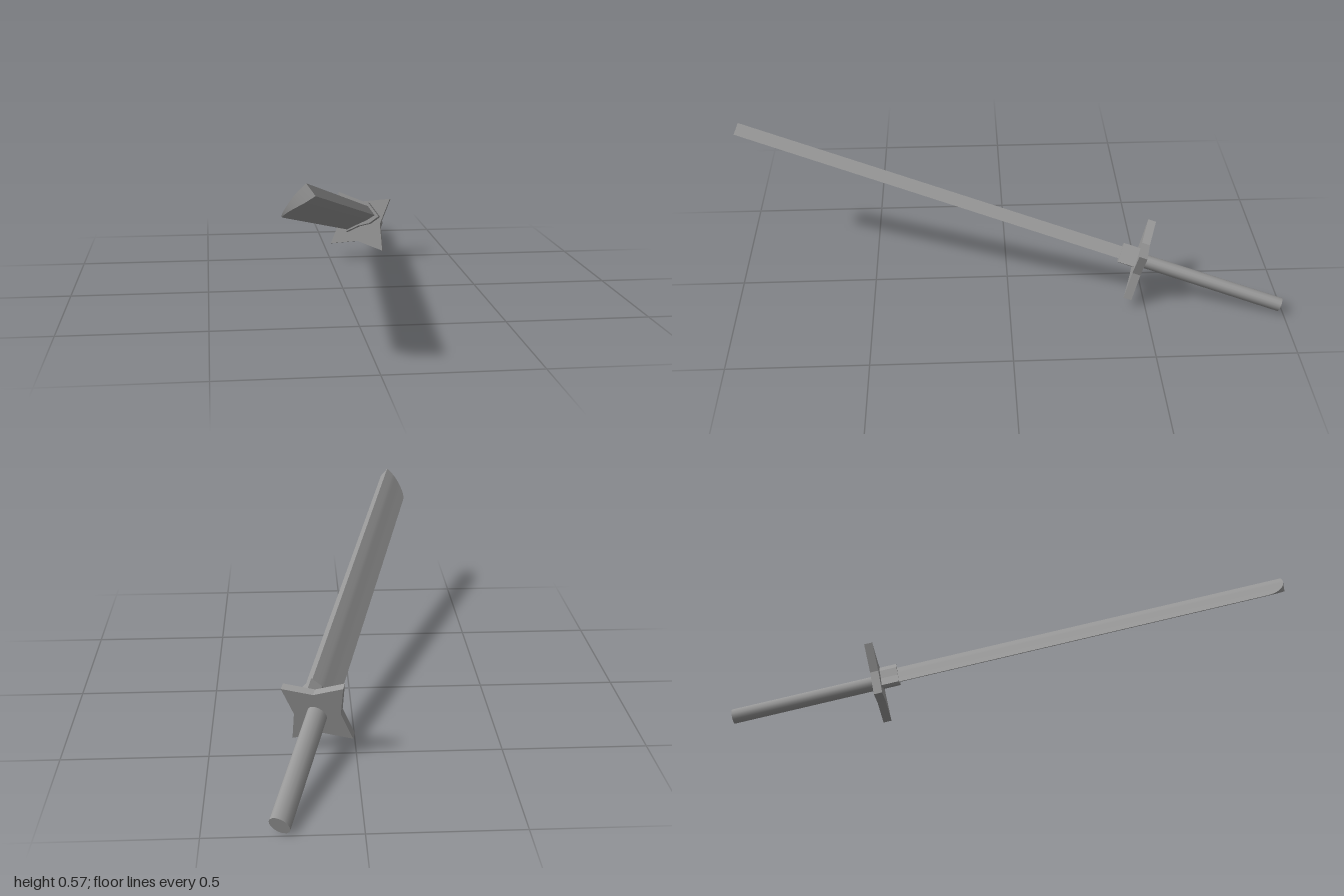
import * as THREE from 'three';
import { mergeGeometries } from 'three/addons/utils/BufferGeometryUtils.js';

const material = (flat = false) => new THREE.MeshStandardMaterial({ color: 0x999999, flatShading: flat });

// Half thickness from cutting edge to spine: [width position, half thickness]
const BLADE = [[-0.0625, 0.001], [-0.02, 0.0095], [0.022, 0.019], [0.0625, 0.023]];
const COLLAR = [[-0.072, 0.005], [-0.017, 0.0165], [0.025, 0.035], [0.072, 0.036]];

// Ribbon of quads between two rows of points
function strip(a, b) {
  const index = [], n = a.length;
  for (let i = 0; i < n - 1; i++) index.push(i, n + i, n + i + 1, i, n + i + 1, i + 1);
  const g = new THREE.BufferGeometry().setFromPoints([...a, ...b]);
  g.setIndex(index);
  g.computeVertexNormals();
  return g;
}

// Closed bar with the given section; endAt(column) gives where each column stops
function sectionBar(columns, start, endAt) {
  const row = (side, z) => columns.map(([w, h], i) => new THREE.Vector3(w, side * h, z(i)));
  const base = () => start;
  const bt = row(1, base), bb = row(-1, base), tt = row(1, endAt), tb = row(-1, endAt);
  const n = columns.length - 1;
  return mergeGeometries([
    strip(bt, tt), strip(tb, bb),                     // two broad sides
    strip(tt, tb), strip(bb, bt),                     // tip and base
    strip([bb[n], tb[n]], [bt[n], tt[n]]),            // spine
    strip([bt[0], tt[0]], [bb[0], tb[0]]),            // cutting edge
  ]);
}

export function createModel() {
  const model = new THREE.Group();
  model.name = 'sword';

  // Local frame: x across the blade towards the spine, y through its thickness, z towards the tip
  const sword = new THREE.Group();
  sword.name = 'tiltedSword';
  const d = new THREE.Vector3(-0.26, 0.246, 1).normalize();
  const w = new THREE.Vector3(0.246, 0.26, 0).normalize().applyAxisAngle(d, -0.17);
  const t = d.clone().cross(w);
  sword.quaternion.setFromRotationMatrix(new THREE.Matrix4().makeBasis(w, t, d));
  sword.position.set(0.017, 0.258, -0.057);
  model.add(sword);

  const add = (name, geometry, flat) => {
    const mesh = new THREE.Mesh(geometry, material(flat));
    mesh.name = name;
    sword.add(mesh);
    return mesh;
  };

  // Blade: thick spine, soft taper to the edge, tip rounded as a quarter ellipse up to the spine
  const steps = 18;
  const angle = (i) => (i / steps) * Math.PI / 2;
  const halfThickness = (x) => {
    const k = BLADE.findIndex(([end], i) => i > 0 && x <= end + 1e-6);
    const [x0, h0] = BLADE[k - 1], [x1, h1] = BLADE[k];
    return THREE.MathUtils.mapLinear(x, x0, x1, h0, h1);
  };
  const columns = Array.from({ length: steps + 1 }, (_, i) => {
    const x = 0.0625 - 0.125 * Math.cos(angle(i));
    return [x, halfThickness(x)];
  });
  const blade = sectionBar(columns, -0.4, (i) => 1.016 + 0.096 * Math.sin(angle(i)));
  add('blade', blade).position.x = 0.004;

  // Collar: larger, faceted sleeve around the blade's root
  add('collar', sectionBar(COLLAR, -0.445, () => -0.375), true).position.x = 0.004;

  // Guard: four-pointed star plate
  const star = new THREE.Shape();
  for (let i = 0; i < 8; i++) {
    const r = i % 2 ? 0.082 : 0.152, a = i * Math.PI / 4;
    star[i ? 'lineTo' : 'moveTo'](r * Math.cos(a), r * Math.sin(a));
  }
  star.closePath();
  add('guard', new THREE.ExtrudeGeometry(star, { depth: 0.03, bevelEnabled: false }), true).position.z = -0.468;

  // Handle: oval grip
  const grip = new THREE.CylinderGeometry(1, 1, 0.534, 16).rotateX(Math.PI / 2).scale(0.037, 0.0255, 1);
  add('handle', grip).position.z = -0.722;

  return model;
}
